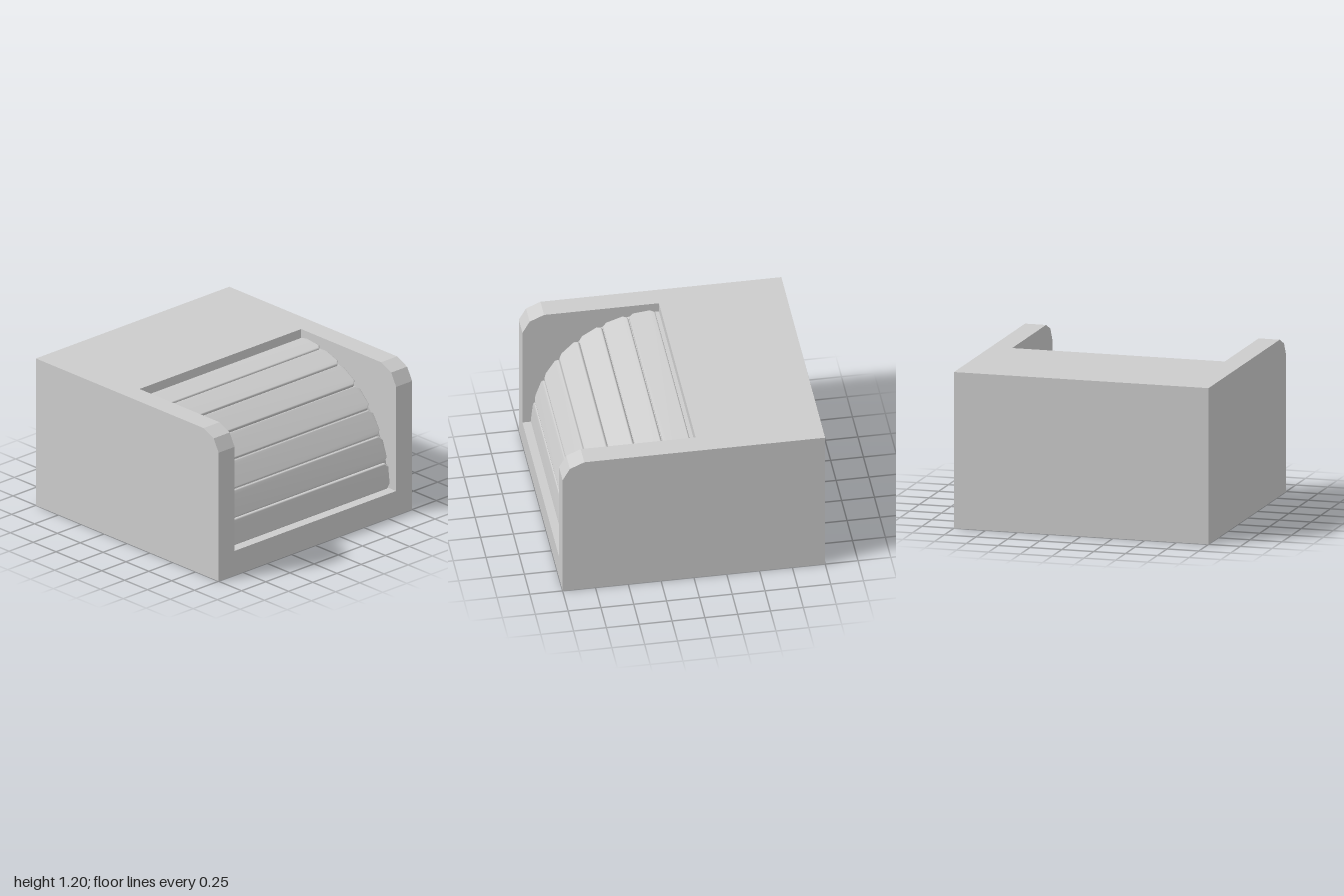
import * as THREE from 'three';
import { mergeVertices } from 'three/addons/utils/BufferGeometryUtils.js';

const HALF = 0.835;              // half width of the opening
const CZ = -0.01, CY = 0.203;    // centre of the shutter's curve
const DRUM = 0.92;               // radius of the surface behind the slats
const SLATS = 7;

// Extrudes a (z, y) side profile across x, centred on the given x
function across(shape, width, x) {
  const g = new THREE.ExtrudeGeometry(shape, { depth: width, bevelEnabled: false, curveSegments: 28 });
  g.translate(0, 0, -width / 2);
  g.rotateY(-Math.PI / 2);
  g.translate(x, 0, 0);
  return g;
}

// Long plate with cut corners and a softened rim; its outer face lies at z = 0
function slatGeometry() {
  const b = 0.01, w = HALF - 0.002, h = 0.101, t = 0.036;
  const cx = 0.033, cy = 0.033;
  const shape = new THREE.Shape([
    [-w + cx, -h], [w - cx, -h], [w, -h + cy], [w, h - cy],
    [w - cx, h], [-w + cx, h], [-w, h - cy], [-w, -h + cy],
  ].map(([x, y]) => new THREE.Vector2(x, y)));
  let g = new THREE.ExtrudeGeometry(shape, {
    depth: t - 2 * b, bevelEnabled: true, bevelSize: b, bevelThickness: b, bevelOffset: -b, bevelSegments: 2,
  });
  g.translate(0, 0, -t + b);
  // smooth shading over the rim
  g.deleteAttribute('normal');
  g.deleteAttribute('uv');
  g = mergeVertices(g, 1e-4);
  g.computeVertexNormals();
  return g;
}

export function createModel() {
  const model = new THREE.Group();
  const grey = new THREE.MeshStandardMaterial({ color: 0xcccccc });
  grey.name = 'light grey';

  const add = (name, geometry) => {
    const mesh = new THREE.Mesh(geometry, grey);
    mesh.name = name;
    model.add(mesh);
    return mesh;
  };

  // Side walls with a chamfered front top corner
  const side = new THREE.Shape([
    [-1, 0], [1, 0], [1, 1.05], [0.945, 1.15], [0.835, 1.2], [-1, 1.2],
  ].map(([z, y]) => new THREE.Vector2(z, y)));
  const wall = 1 - HALF;
  add('leftWall', across(side, wall, HALF + wall / 2));
  add('rightWall', across(side, wall, -HALF - wall / 2));

  // Middle body: front sill, curved bed for the slats, top panel
  const middle = new THREE.Shape();
  middle.moveTo(-1, 0);
  middle.lineTo(1, 0);
  middle.lineTo(1, 0.2);
  middle.lineTo(CZ + DRUM, 0.2);
  middle.absarc(CZ, CY, DRUM, 0, Math.PI / 2, false);
  middle.lineTo(-0.04, CY + DRUM);
  middle.lineTo(-0.04, 1.2);
  middle.lineTo(-1, 1.2);
  middle.closePath();
  add('body', across(middle, HALF * 2, 0));

  // Roll shutter slats around a quarter circle
  const geometry = slatGeometry();
  const step = Math.PI / 2 / SLATS;
  const radius = 0.951 * Math.cos(step / 2);
  for (let i = 0; i < SLATS; i++) {
    const a = (i + 0.5) * step;
    const slat = add('slat' + (i + 1), geometry);
    slat.position.set(0, CY + radius * Math.sin(a), CZ + radius * Math.cos(a));
    slat.rotation.x = -a;
  }
  return model;
}
